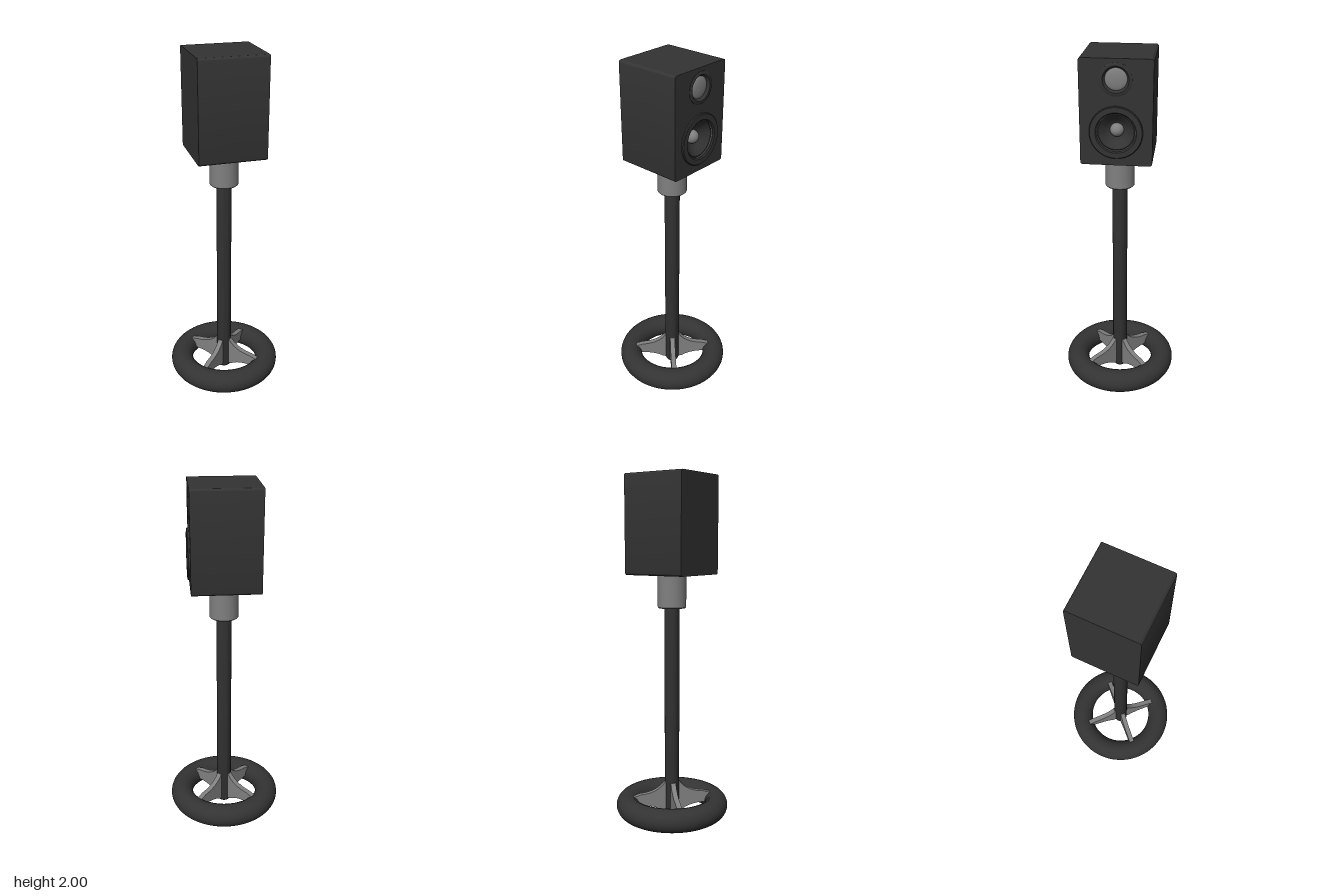
import * as THREE from 'three';
import { toCreasedNormals } from 'three/addons/utils/BufferGeometryUtils.js';

const dark = new THREE.MeshStandardMaterial({ color: 0x333333 });
const grey = new THREE.MeshStandardMaterial({ color: 0x808080 });

function add(parent, name, geometry, material) {
  const mesh = new THREE.Mesh(geometry, material);
  mesh.name = name;
  parent.add(mesh);
  return mesh;
}

// Turned part from [radius, height] pairs
function turned(points, segments = 48) {
  const profile = points.map(([r, y]) => new THREE.Vector2(r, y));
  return toCreasedNormals(new THREE.LatheGeometry(profile, segments), 0.6);
}

// Rounded cabinet outline, running in depth from x = from to x = to
function cabinetSlab(from, to, holes = []) {
  const w = 0.19, h = 0.28, r = 0.014;
  const shape = new THREE.Shape();
  shape.moveTo(-w + r, -h);
  shape.lineTo(w - r, -h);
  shape.absarc(w - r, -h + r, r, -Math.PI / 2, 0);
  shape.absarc(w - r, h - r, r, 0, Math.PI / 2);
  shape.absarc(-w + r, h - r, r, Math.PI / 2, Math.PI);
  shape.absarc(-w + r, -h + r, r, Math.PI, Math.PI * 1.5);
  for (const [y, radius] of holes) {
    shape.holes.push(new THREE.Path().absarc(0, y, radius, 0, Math.PI * 2, true));
  }
  const geometry = new THREE.ExtrudeGeometry(shape, { depth: to - from, bevelEnabled: false, curveSegments: 24 });
  geometry.translate(0, 0, from).rotateY(Math.PI / 2).translate(0, 1.72, 0);
  return toCreasedNormals(geometry, 0.6);
}

// Driver group whose local +y points out of the baffle (+x)
function driver(parent, name, y) {
  const group = new THREE.Group();
  group.name = name;
  group.position.set(0.19, y, 0);
  group.rotation.z = -Math.PI / 2;
  parent.add(group);
  return group;
}

export function createModel() {
  const model = new THREE.Group();
  model.name = 'speakerOnStand';

  // Ring base
  const ring = new THREE.TorusGeometry(0.265, 0.067, 28, 72);
  ring.rotateX(Math.PI / 2);
  add(model, 'baseRing', ring, dark).position.y = 0.07;

  // Post and collar
  add(model, 'post', turned([[0, 0], [0.025, 0.003], [0.038, 0.014], [0.043, 0.032], [0.043, 1.27]], 32), dark);
  add(model, 'collar', turned([[0, 1.25], [0.076, 1.25], [0.082, 1.256], [0.082, 1.445]]), grey);

  // Four diagonal webs between post and ring
  const web = new THREE.Shape();
  web.moveTo(0.02, 0.03);
  web.lineTo(0.06, 0.035);
  web.quadraticCurveTo(0.12, 0.08, 0.24, 0.07);
  web.lineTo(0.24, 0.125);
  web.lineTo(0.19, 0.14);
  web.quadraticCurveTo(0.09, 0.145, 0.045, 0.21);
  web.lineTo(0.02, 0.21);
  const webGeometry = new THREE.ExtrudeGeometry(web, { depth: 0.03, bevelEnabled: false, curveSegments: 10 });
  webGeometry.translate(0, 0, -0.015);
  for (let i = 0; i < 4; i++) {
    add(model, 'baseWeb', toCreasedNormals(webGeometry, 0.5), grey).rotation.y = Math.PI / 4 + i * Math.PI / 2;
  }

  // Cabinet with an opening in the baffle for each driver
  add(model, 'cabinet', cabinetSlab(-0.19, 0.12), dark);
  add(model, 'baffle', cabinetSlab(0.12, 0.19, [[-0.1, 0.12], [0.175, 0.07]]), dark);

  // Woofer: raised frame, trim, recessed cone, dust cap
  const woofer = driver(model, 'woofer', 1.62);
  add(woofer, 'wooferFrame', turned([
    [0.14, -0.005], [0.14, 0.008], [0.136, 0.012], [0.108, 0.012], [0.102, 0.006], [0.1, -0.008],
  ], 64), dark);
  const trim = new THREE.TorusGeometry(0.101, 0.002, 8, 64);
  trim.rotateX(Math.PI / 2);
  add(woofer, 'wooferTrim', trim, grey).position.y = -0.002;
  add(woofer, 'wooferCone', turned([
    [0.102, -0.008], [0.094, -0.004], [0.085, -0.01], [0.06, -0.036], [0.035, -0.052], [0, -0.054],
  ], 64), dark);
  const cap = new THREE.SphereGeometry(0.037, 32, 12, 0, Math.PI * 2, 0, Math.PI / 2);
  add(woofer, 'dustCap', cap, grey).position.y = -0.051;

  // Tweeter: thin frame and shallow dome
  const tweeter = driver(model, 'tweeter', 1.895);
  add(tweeter, 'tweeterFrame', turned([
    [0.085, -0.005], [0.085, 0.002], [0.082, 0.004], [0.068, 0.004], [0.06, -0.008], [0.056, -0.012],
  ], 64), dark);
  const dome = new THREE.SphereGeometry(0.058, 40, 12, 0, Math.PI * 2, 0, Math.PI / 2);
  dome.scale(1, 0.2, 1);
  add(tweeter, 'tweeterDome', dome, grey).position.y = -0.011;

  return model;
}
